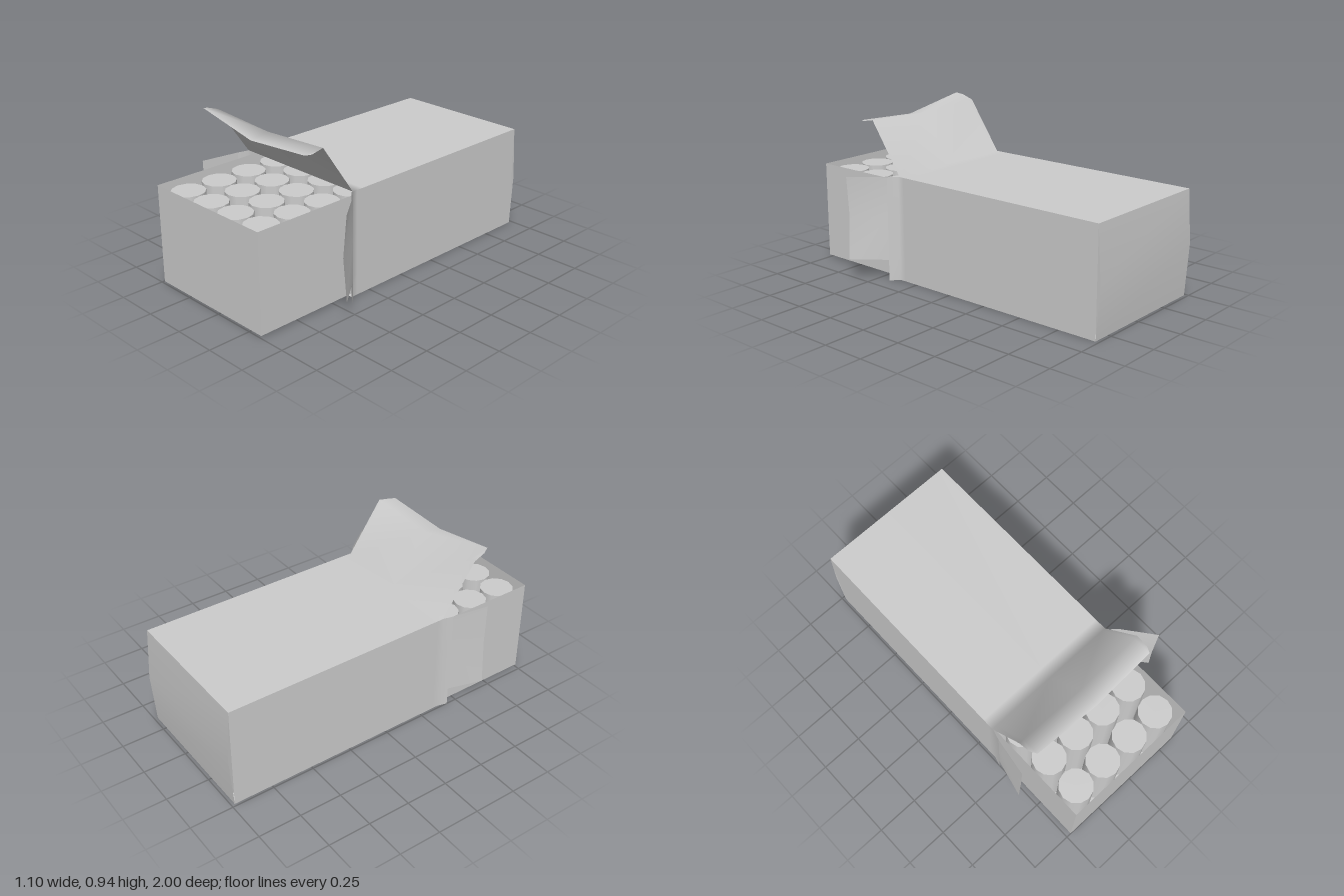
import * as THREE from 'three';

const card = new THREE.MeshStandardMaterial({ color: 0xcccccc, side: THREE.DoubleSide });
const solid = new THREE.MeshStandardMaterial({ color: 0xcccccc });

// Thin card sheet spanned by rows of [x, y, z] points, all rows the same length
function sheet(name, rows) {
  const n = rows[0].length;
  const index = [];
  for (let r = 0; r < rows.length - 1; r++) {
    for (let c = 0; c < n - 1; c++) {
      const a = r * n + c, b = a + 1, d = a + n, e = d + 1;
      index.push(a, d, b, b, d, e);
    }
  }
  const geometry = new THREE.BufferGeometry();
  geometry.setAttribute('position', new THREE.Float32BufferAttribute(rows.flat(2), 3));
  geometry.setIndex(index);
  geometry.computeVertexNormals();
  const mesh = new THREE.Mesh(geometry, card);
  mesh.name = name;
  return mesh;
}

// Sleeve extents
const L = -0.485, R = 0.355, TOP = 0.61, BACK = -0.98, FRONT = 0.38;

function createSleeve() {
  const sleeve = new THREE.Group();
  sleeve.name = 'sleeve';

  // Top panel running into the raised lid and its bent, dented lip
  const xs = [L, -0.455, -0.06, 0.335, R];
  const across = (y, z) => xs.map((x) => [x, y, z]);
  sleeve.add(sheet('topPanelAndLid', [
    across(TOP, BACK),
    across(TOP, 0.3),
    across(TOP, 0.37),
    [[L, 0.905, 0.575], [-0.455, 0.905, 0.575], [-0.06, 0.885, 0.58], [0.335, 0.904, 0.575], [R, 0.905, 0.575]],
    [[-0.48, 0.93, 0.645], [-0.46, 0.94, 0.683], [-0.06, 0.865, 0.693], [0.34, 0.889, 0.683], [R, 0.89, 0.65]],
  ]));

  // Bottom and slightly bulging back
  sleeve.add(sheet('bottomPanel', [
    [[R, 0, BACK], [L, 0, BACK]],
    [[R, 0, FRONT], [L, 0, FRONT]],
  ]));
  sleeve.add(sheet('backPanel', [[0, BACK], [0.3, -1], [TOP, BACK]].map(
    ([y, z]) => [[L, y, z], [R, y, z]])));

  // Side walls with a flared strip at the mouth
  const wall = (name, x, lipX, lipZ) => sheet(name,
    [[x, BACK], [x, FRONT - 0.04], [x, FRONT], [lipX, lipZ]].map(
      ([px, z]) => [0, 0.12, 0.37, TOP].map((y) => [px, y, z])));
  sleeve.add(wall('leftWall', R, 0.405, 0.42));
  sleeve.add(wall('rightWall', L, -0.5, 0.435));

  // Side flaps, open and slightly warped
  sleeve.add(sheet('leftFlap', [
    [[0.405, 0.125, 0.42], [0.405, 0.37, 0.42], [0.405, TOP, 0.42]],
    [[0.545, 0.125, 0.6], [0.525, 0.37, 0.605], [0.545, TOP, 0.6]],
  ]));
  sleeve.add(sheet('rightFlap', [
    [[-0.5, 0.11, 0.435], [-0.5, 0.37, 0.435], [-0.5, TOP, 0.435]],
    [[-0.55, 0.1, 0.65], [-0.535, 0.37, 0.65], [-0.535, TOP, 0.655]],
  ]));
  return sleeve;
}

// Open tray pulled partly out of the sleeve
function createTray() {
  const tray = new THREE.Group();
  tray.name = 'tray';
  const x0 = -0.472, x1 = 0.345, y0 = 0.015, y1 = 0.585, z0 = -0.95, z1 = 1;
  const corners = [[x0, z0], [x1, z0], [x1, z1], [x0, z1]];
  corners.forEach(([ax, az], i) => {
    const [bx, bz] = corners[(i + 1) % 4];
    tray.add(sheet('trayWall', [
      [[ax, y0, az], [bx, y0, bz]],
      [[ax, y1, az], [bx, y1, bz]],
    ]));
  });
  tray.add(sheet('trayFloor', [
    [[x1, y0, z0], [x0, y0, z0]],
    [[x1, y0, z1], [x0, y0, z1]],
  ]));
  return tray;
}

// Rows of upright cylinders filling the tray
function createContents() {
  const contents = new THREE.Group();
  contents.name = 'contents';
  const geometry = new THREE.CylinderGeometry(0.095, 0.095, 0.535, 12);
  for (let row = 0; row < 9; row++) {
    for (let col = 0; col < 4; col++) {
      const cylinder = new THREE.Mesh(geometry, solid);
      cylinder.name = 'cylinder';
      cylinder.position.set(-0.36 + col * 0.198, 0.2875, 0.885 - row * 0.205);
      contents.add(cylinder);
    }
  }
  return contents;
}

export function createModel() {
  const model = new THREE.Group();
  model.name = 'openBoxOfCylinders';
  model.add(createSleeve(), createTray(), createContents());
  return model;
}
